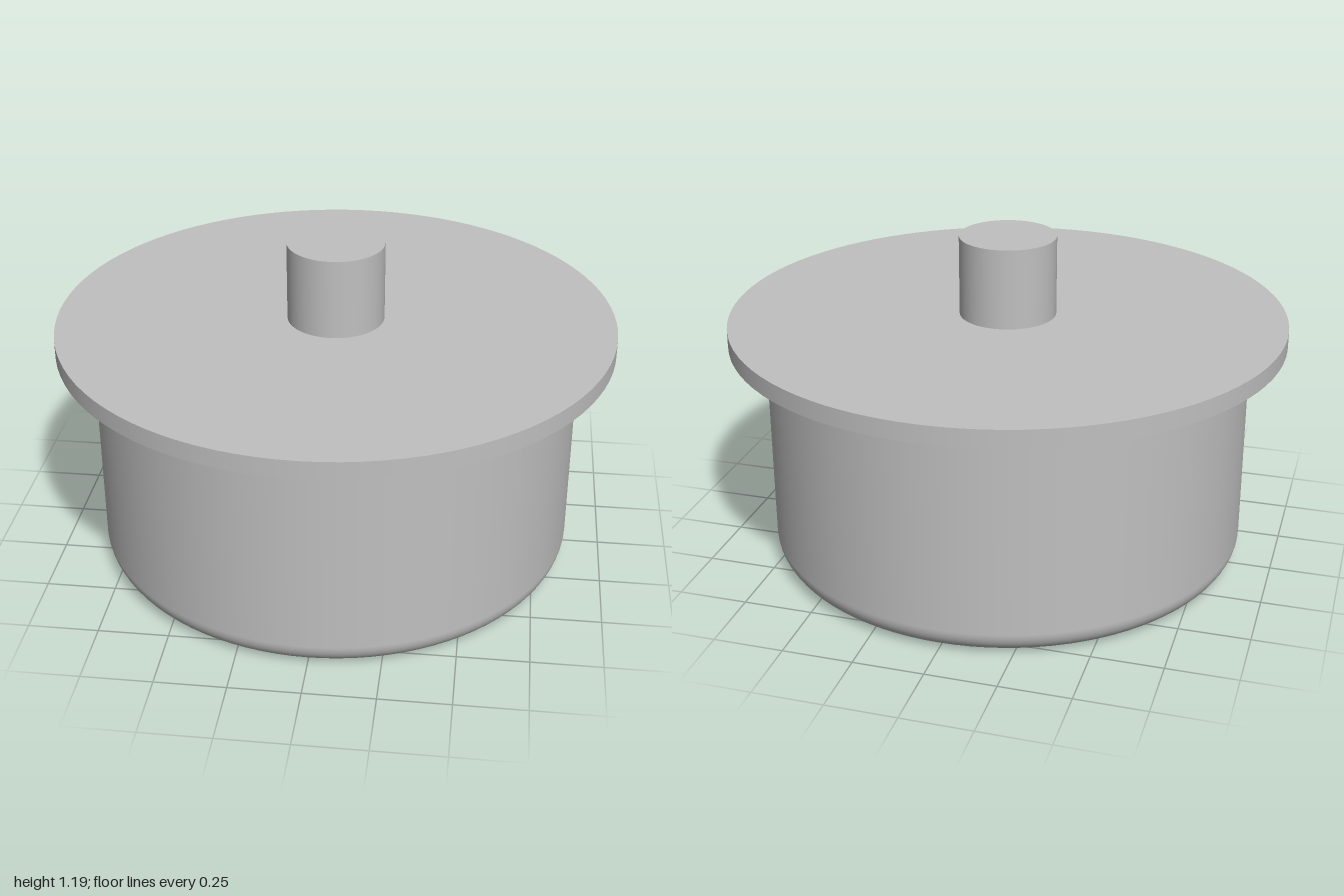
import * as THREE from 'three';

const SEGMENTS = 96;

export function createModel() {
  const model = new THREE.Group();
  model.name = 'liddedPot';
  const metal = new THREE.MeshStandardMaterial({ color: 0xc0c0c0 });
  metal.name = 'light grey';

  const add = (name, geometry, y = 0) => {
    const mesh = new THREE.Mesh(geometry, metal);
    mesh.name = name;
    mesh.position.y = y;
    model.add(mesh);
  };
  // Upright disc or post standing between two heights
  const addDisc = (name, radius, bottom, top) =>
    add(name, new THREE.CylinderGeometry(radius, radius, top - bottom, SEGMENTS), (bottom + top) / 2);

  // Pot body: flat base, rounded lower edge, straight wall
  const radius = 0.87, fillet = 0.09, height = 0.835, steps = 12;
  const profile = [new THREE.Vector2(0, 0)];
  for (let i = 0; i <= steps; i++) {
    const a = (i / steps) * Math.PI / 2;
    profile.push(new THREE.Vector2(
      radius - fillet + fillet * Math.sin(a),
      fillet - fillet * Math.cos(a)));
  }
  profile.push(new THREE.Vector2(radius, height));
  add('potBody', new THREE.LatheGeometry(profile, SEGMENTS));

  // Overhanging lid and its knob
  addDisc('lid', 1, height, 0.9);
  addDisc('lidKnob', 0.174, 0.9, 1.19);

  return model;
}
